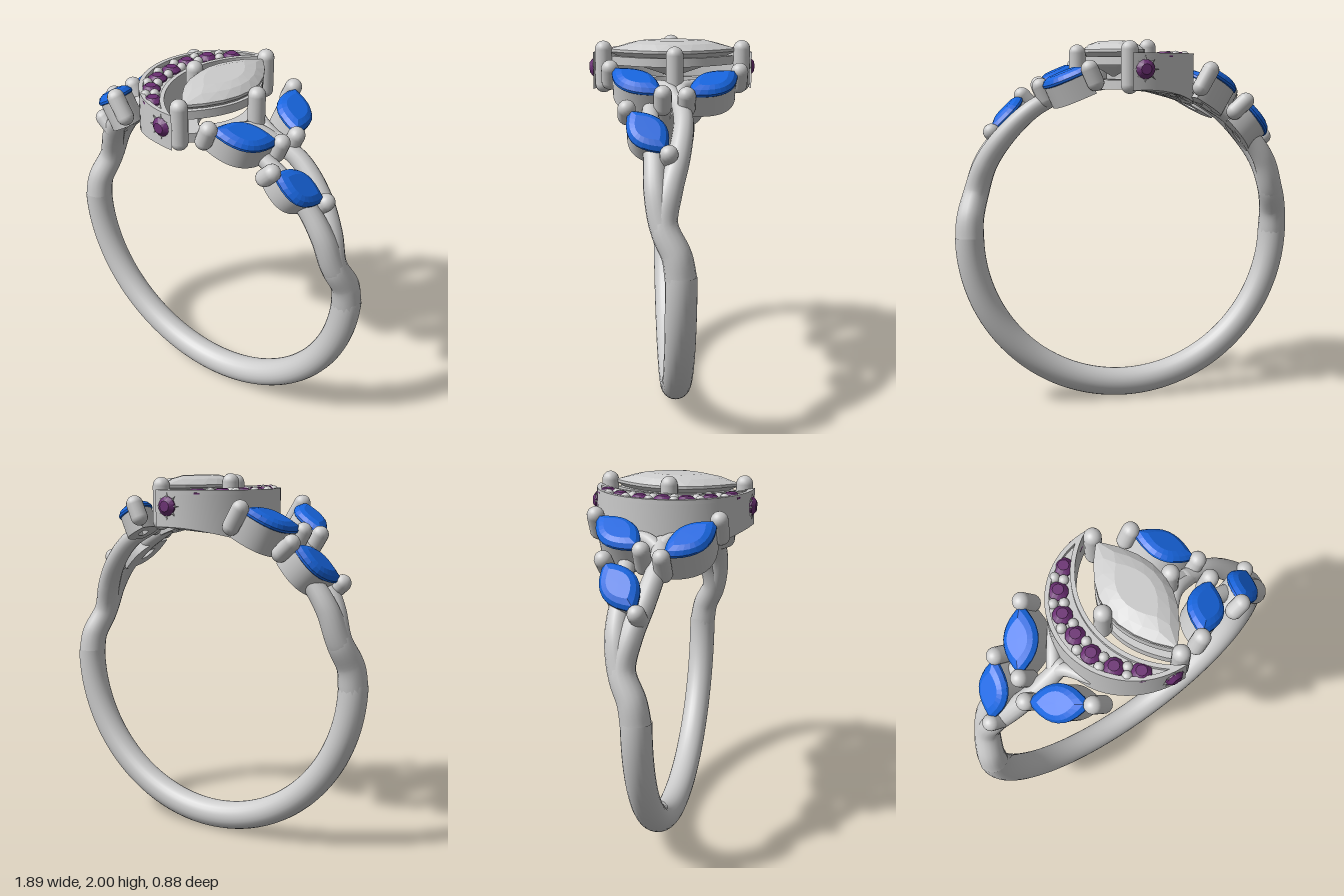
import * as THREE from 'three';
import { toCreasedNormals } from 'three/addons/utils/BufferGeometryUtils.js';

const metal = new THREE.MeshStandardMaterial({ color: 0xcccccc });
const stone = (color) => new THREE.MeshStandardMaterial({ color, flatShading: true });
const clear = stone(0xcccccc), blue = stone(0x1766e0), purple = stone(0x6b2f73);

const CY = 0.945, R_IN = 0.79, R_MID = 0.867;
const V = (x, y, z) => new THREE.Vector3(x, y, z);
// Point on the finger circle: angle in degrees, radius, z
const polar = (deg, r, z) => {
  const a = THREE.MathUtils.degToRad(deg);
  return V(r * Math.cos(a), CY + r * Math.sin(a), z);
};

function add(parent, name, geometry, material = metal) {
  const mesh = new THREE.Mesh(geometry, material);
  mesh.name = name;
  parent.add(mesh);
  return mesh;
}

// Outlines, u in 0..1, starting at +z and turning toward +x
const circle = (r) => (u) => [r * Math.sin(u * 2 * Math.PI), r * Math.cos(u * 2 * Math.PI)];
const marquise = (L, W) => (u) => {
  const s = (u * 2) % 2, t = s < 1 ? 1 - 2 * s : 2 * s - 3;
  return [(s < 1 ? 1 : -1) * W * (1 - t * t), L * t];
};

// Faceted stone from levels [scale, y, half-step offset], top to bottom
function gemGeometry(outline, levels, n) {
  const pos = [];
  const pt = ([s, y, off], i) => {
    const [x, z] = outline(((i + off) / n) % 1);
    return [x * s, y, z * s];
  };
  const tri = (...p) => p.forEach((q) => pos.push(...q));
  const top = levels[0], bottom = levels[levels.length - 1];
  for (let i = 0; i < n; i++) {
    tri([0, top[1], 0], pt(top, i), pt(top, i + 1));
    tri([0, bottom[1], 0], pt(bottom, i + 1), pt(bottom, i));
    for (let k = 0; k + 1 < levels.length; k++) {
      const a = pt(levels[k], i), d = pt(levels[k], i + 1);
      const b = pt(levels[k + 1], i), c = pt(levels[k + 1], i + 1);
      if (levels[k][2] > levels[k + 1][2]) { tri(a, b, c); tri(a, c, d); }
      else { tri(a, b, d); tri(b, c, d); }
    }
  }
  const g = new THREE.BufferGeometry();
  g.setAttribute('position', new THREE.Float32BufferAttribute(pos, 3));
  g.computeVertexNormals();
  return g;
}

// Flat outline in x/z extruded upward from y0 to y1
function slab(points, holes, y0, y1) {
  const to2 = (p) => p.map(([x, z]) => new THREE.Vector2(x, -z));
  const shape = new THREE.Shape(to2(points));
  holes.forEach((h) => shape.holes.push(new THREE.Path(to2(h))));
  const g = new THREE.ExtrudeGeometry(shape, { depth: y1 - y0, bevelEnabled: false });
  return g.rotateX(-Math.PI / 2).translate(0, y0, 0);
}
const loop = (outline, n = 40) => Array.from({ length: n }, (_, i) => outline(i / n));
const smooth = (g) => toCreasedNormals(g, 0.6);

// Upright round-ended prong
function prong(parent, x, z, y0, y1, r = 0.045) {
  const g = new THREE.CapsuleGeometry(r, y1 - y0 - 2 * r, 8, 16);
  add(parent, 'prong', g.translate(x, (y0 + y1) / 2, z));
}

// Tube through points with a radius that changes from r0 to r1
function vine(parent, name, points, r0, r1) {
  const n = 48, m = 16, curve = new THREE.CatmullRomCurve3(points);
  const g = new THREE.TubeGeometry(curve, n, r0, m);
  const p = g.attributes.position, v = V(0, 0, 0);
  for (let i = 0; i <= n; i++) {
    const c = curve.getPointAt(i / n), k = 1 + (r1 / r0 - 1) * (i / n);
    for (let j = 0; j <= m; j++) {
      const id = i * (m + 1) + j;
      v.fromBufferAttribute(p, id).sub(c).multiplyScalar(k).add(c);
      p.setXYZ(id, v.x, v.y, v.z);
    }
  }
  add(parent, name, g);
  add(parent, name + 'End', new THREE.SphereGeometry(r1, 16, 12)).position.copy(points[points.length - 1]);
}

// Blue leaf stone with its bucket and two end prongs, given its tips
function leaf(parent, a, b) {
  const group = new THREE.Group();
  group.name = 'leafSetting';
  const c = a.clone().add(b).multiplyScalar(0.5);
  const up = V(c.x, c.y - CY, 0), radius = up.length();
  up.normalize();
  const axis = b.clone().sub(a);
  axis.addScaledVector(up, -axis.dot(up));
  const L = axis.length() / 2, W = 0.095;
  axis.normalize();
  group.matrixAutoUpdate = true;
  group.quaternion.setFromRotationMatrix(
    new THREE.Matrix4().makeBasis(up.clone().cross(axis), up, axis));
  group.position.copy(c);
  const base = R_IN + 0.01 - radius;
  add(group, 'leafStone', gemGeometry(marquise(L, W),
    [[0.6, 0.032, 0], [0.85, 0.02, 0], [1, 0, 0], [1, -0.012, 0], [0.4, -0.06, 0]], 20), blue);
  add(group, 'leafBucket', smooth(slab(loop(marquise(L * 0.96, W * 0.93)),
    [loop(marquise(L * 0.4, W * 0.3)).reverse()], base, -0.012)));
  for (const s of [-1, 1]) prong(group, 0, s * (L + 0.015), base + 0.01, 0.045);
  parent.add(group);
}

// Crescent outline between two arcs
function crescent(Ro, Ri, n = 40) {
  const c1 = 0.055, c2 = 0.3, pts = [];
  const x = (Ro * Ro - Ri * Ri + c2 * c2 - c1 * c1) / (2 * (c2 - c1));
  const z = Math.sqrt(Ro * Ro - (x - c1) ** 2);
  const ao = Math.atan2(z, x - c1), ai = Math.atan2(z, x - c2);
  for (let i = 0; i <= n; i++) {
    const t = ao + (2 * Math.PI - 2 * ao) * (i / n);
    pts.push([c1 + Ro * Math.cos(t), Ro * Math.sin(t)]);
  }
  for (let i = 1; i < n; i++) {
    const t = 2 * Math.PI - ai + (2 * ai - 2 * Math.PI) * (i / n);
    pts.push([c2 + Ri * Math.cos(t), Ri * Math.sin(t)]);
  }
  return pts;
}

export function createModel() {
  const ring = new THREE.Group();
  ring.name = 'ring';

  // Lower half of the band
  add(ring, 'band', new THREE.TorusGeometry(R_MID, 0.078, 24, 96, Math.PI).rotateZ(Math.PI)).position.y = CY;

  // Shoulders: two vines on each side, half a turn apart, forking at the head
  for (const s of [1, -1]) {
    const turn = (list) => list.map(([d, r, z]) => polar(d, r, z)).map((p) => V(p.x * s, p.y, p.z * s));
    vine(ring, 'outerVine', turn([[-2, R_MID, 0], [6, 0.865, 0.02], [16, 0.85, 0.085], [27, 0.86, 0.115],
      [38, 0.855, 0.12], [50, 0.845, 0.13], [62, 0.835, 0.13]]), 0.078, 0.04);
    vine(ring, 'innerVine', turn([[-2, R_MID, 0], [6, 0.865, 0.02], [16, 0.85, 0.08], [27, 0.86, 0.05],
      [39, 0.86, 0.0], [52, 0.86, -0.03], [63, 0.85, -0.02]]), 0.078, 0.045);
    for (const k of [1, -1]) {
      const end = s > 0 ? V(0.16, 1.76, 0.17 * k) : V(-0.31, 1.73, 0.16 * k);
      vine(ring, 'fork', [turn([[60, 0.85, -0.02]])[0],
        s > 0 ? V(0.28, 1.76, 0.04 * k) : V(-0.38, 1.72, 0.05 * k), end], 0.04, 0.028);
    }
  }

  // Leaf stones
  leaf(ring, V(0.55, 1.69, 0.24), V(0.72, 1.51, 0.06));
  leaf(ring, V(0.23, 1.85, 0.32), V(0.46, 1.76, 0.08));
  leaf(ring, V(0.28, 1.84, -0.32), V(0.47, 1.75, -0.06));
  leaf(ring, V(-0.61, 1.65, -0.21), V(-0.8, 1.48, -0.02));
  leaf(ring, V(-0.38, 1.82, -0.31), V(-0.58, 1.73, -0.05));
  leaf(ring, V(-0.39, 1.82, 0.3), V(-0.62, 1.71, 0.08));

  // Crescent, its underside following the finger circle
  const spots = [-3, -2, -1, 0, 1, 2, 3].map((k) => {
    const a = k * 0.355, r = 0.33 + 0.014 * Math.abs(k);
    return [0.055 - r * Math.cos(a), r * Math.sin(a)];
  });
  const holes = spots.map(([x, z]) => loop(circle(0.024), 16).map(([u, v]) => [x + u, z + v]));
  const body = slab(crescent(0.42, 0.48), holes, 1.7, 1.9);
  const p = body.attributes.position;
  for (let i = 0; i < p.count; i++) {
    if (p.getY(i) < 1.8) p.setY(i, CY + Math.sqrt(R_IN ** 2 - p.getX(i) ** 2));
  }
  add(ring, 'crescent', smooth(body));
  add(ring, 'crescentRim', smooth(slab(crescent(0.42, 0.48), [crescent(0.398, 0.502).reverse()], 1.9, 1.922)));

  // Round stones along the crescent, with bead pairs between them
  const round = gemGeometry(circle(0.05), [[0.55, 0.024, 0], [1, 0.004, 0.5], [1, -0.004, 0.5], [0.1, -0.04, 0]], 12);
  spots.forEach(([x, z]) => add(ring, 'crescentStone', round, purple).position.set(x, 1.905, z));
  const bead = new THREE.SphereGeometry(0.026, 14, 10);
  for (let k = -2.5; k < 3; k++) {
    for (const d of [-0.032, 0.032]) {
      const a = k * 0.355, r = 0.333 + 0.014 * Math.abs(k) + d * (1 - Math.abs(k) * 0.12);
      add(ring, 'bead', bead).position.set(0.055 - r * Math.cos(a), 1.908, r * Math.sin(a));
    }
  }

  // Star-set stone on each flank of the crescent
  for (const s of [1, -1]) {
    const star = new THREE.Group();
    star.name = 'starSetting';
    star.position.set(0, 1.84, 0.416 * s);
    star.rotation.x = s * Math.PI / 2;
    add(star, 'starStone', round, purple);
    for (let i = 0; i < 8; i++) {
      const a = i * Math.PI / 4;
      const ray = add(star, 'starRay', new THREE.ConeGeometry(0.009, 0.035, 6).rotateX(Math.PI / 2).translate(0, 0, 0.055));
      ray.rotation.y = a;
    }
    ring.add(star);
  }

  // Centre stone in an open basket
  const head = new THREE.Group();
  head.name = 'head';
  head.position.x = 0.07;
  add(head, 'centreStone', gemGeometry(marquise(0.335, 0.165),
    [[0.5, 1.988, 0], [0.78, 1.972, 0.5], [1, 1.942, 0], [1, 1.928, 0], [0.55, 1.85, 0.5], [0.05, 1.8, 0]], 16), clear);
  const rail = (L, W, w, y0, y1) => add(head, 'basketRail', smooth(slab(loop(marquise(L, W)),
    [loop(marquise(L - w * 1.8, W - w)).reverse()], y0, y1)));
  rail(0.325, 0.16, 0.04, 1.86, 1.905);
  rail(0.33, 0.165, 0.065, 1.735, 1.785);
  for (const s of [1, -1]) prong(head, 0, 0.365 * s, 1.715, 1.985);
  prong(head, -0.19, 0, 1.74, 2);
  prong(head, 0.2, 0, 1.71, 1.97);
  ring.add(head);

  return ring;
}
